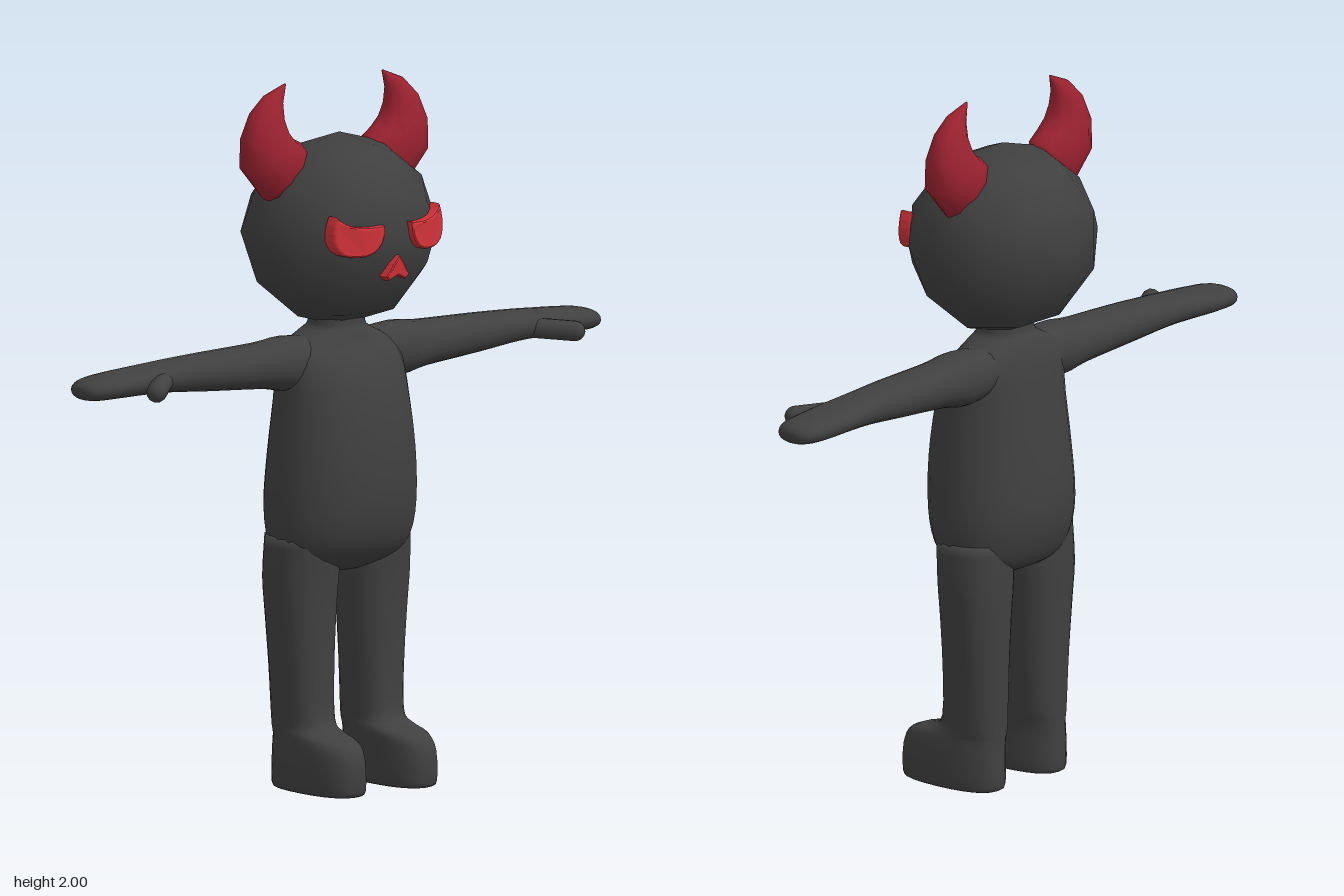
import * as THREE from 'three';

const MID = -0.02; // body mirror plane

const skin = new THREE.MeshStandardMaterial({ color: 0x404040 });
skin.name = 'charcoalSkin';
const hornRed = new THREE.MeshStandardMaterial({ color: 0x9c2230 });
hornRed.name = 'darkRedHorn';
const faceRed = new THREE.MeshStandardMaterial({ color: 0xd03238 });
faceRed.name = 'brightRedFace';

function part(name, geometry, material) {
  const mesh = new THREE.Mesh(geometry, material);
  mesh.name = name;
  return mesh;
}

// Resample rows of numbers with a Catmull-Rom spline.
function smoothRows(rows, steps) {
  const out = [];
  const at = (i) => rows[Math.max(0, Math.min(rows.length - 1, i))];
  for (let i = 0; i < rows.length - 1; i++) {
    for (let k = 0; k < steps; k++) {
      const t = k / steps;
      out.push(rows[i].map((p1, c) => {
        const p0 = at(i - 1)[c], p2 = at(i + 1)[c], p3 = at(i + 2)[c];
        return p1 + 0.5 * t * (p2 - p0 + t * (2 * p0 - 5 * p1 + 4 * p2 - p3 + t * (3 * (p1 - p2) + p3 - p0)));
      }));
    }
  }
  out.push(rows[rows.length - 1]);
  return out;
}

// Skin over rounded sections {c, a, b}; the sections advance along a x b.
function loft(sections, sides, power = 1) {
  const pos = [], index = [];
  const bend = (v) => Math.sign(v) * Math.abs(v) ** power;
  for (const { c, a, b } of sections) {
    for (let j = 0; j < sides; j++) {
      const th = (j / sides) * Math.PI * 2;
      const p = c.clone().addScaledVector(a, bend(Math.cos(th))).addScaledVector(b, bend(Math.sin(th)));
      pos.push(p.x, p.y, p.z);
    }
  }
  const last = (sections.length - 1) * sides, start = pos.length / 3;
  pos.push(...sections[0].c.toArray(), ...sections[sections.length - 1].c.toArray());
  for (let j = 0; j < sides; j++) {
    const k = (j + 1) % sides;
    for (let r = 0; r < last; r += sides) {
      index.push(r + j, r + k, r + sides + j, r + k, r + sides + k, r + sides + j);
    }
    index.push(start, k, j, start + 1, last + j, last + k);
  }
  const g = new THREE.BufferGeometry();
  g.setAttribute('position', new THREE.Float32BufferAttribute(pos, 3));
  g.setIndex(index);
  g.computeVertexNormals();
  return g;
}

const V = (x, y, z) => new THREE.Vector3(x, y, z);

// Upright section: height, centre x, half width, front z, back z
const upright = ([y, x, w, f, k]) => ({ c: V(x, y, (f + k) / 2), a: V(0, 0, (f - k) / 2), b: V(w, 0, 0) });

function torso() {
  const rows = [
    [0.61, 0.1, 0.04, -0.05], [0.64, 0.185, 0.1, -0.11], [0.7, 0.222, 0.15, -0.145],
    [0.8, 0.232, 0.176, -0.165], [0.95, 0.224, 0.178, -0.155], [1.1, 0.208, 0.158, -0.138],
    [1.2, 0.2, 0.125, -0.125], [1.255, 0.165, 0.09, -0.112], [1.288, 0.105, 0.075, -0.1],
    [1.31, 0.08, 0.065, -0.085], [1.38, 0.078, 0.06, -0.08],
  ].map(([y, w, f, k]) => [y, MID, w, f, k]);
  return part('torso', loft(smoothRows(rows, 3).map(upright), 28, 0.9), skin);
}

// Leg and boot in one skin
function leg(s) {
  const rows = [
    [0, 0.13, 0.068, 0.222, -0.088], [0.015, 0.13, 0.082, 0.236, -0.1], [0.1, 0.13, 0.08, 0.234, -0.1],
    [0.145, 0.127, 0.077, 0.205, -0.1], [0.167, 0.126, 0.075, 0.13, -0.1], [0.2, 0.126, 0.075, 0.09, -0.1],
    [0.35, 0.128, 0.083, 0.082, -0.102], [0.5, 0.13, 0.095, 0.083, -0.106],
    [0.6, 0.13, 0.103, 0.088, -0.11], [0.72, 0.125, 0.1, 0.1, -0.11],
  ].map(([y, x, ...rest]) => [y, MID + s * x, ...rest]);
  return part(s > 0 ? 'leftLeg' : 'rightLeg', loft(smoothRows(rows, 3).map(upright), 24, 0.82), skin);
}

// Outstretched arm with a mitten hand and thumb
function arm(s) {
  const group = new THREE.Group();
  group.name = s > 0 ? 'leftArm' : 'rightArm';
  const rows = [
    [0.06, 1.21, 0.06, -0.02, 0.07], [0.2, 1.207, 0.077, -0.02, 0.082], [0.3, 1.21, 0.065, -0.022, 0.078],
    [0.5, 1.215, 0.054, -0.025, 0.075], [0.65, 1.218, 0.044, -0.03, 0.071], [0.75, 1.216, 0.039, -0.032, 0.076],
    [0.83, 1.213, 0.036, -0.035, 0.076], [0.9, 1.21, 0.032, -0.035, 0.071], [0.938, 1.207, 0.024, -0.035, 0.052],
    [0.951, 1.206, 0.01, -0.035, 0.025],
  ];
  const sections = smoothRows(rows, 3).map(([x, y, h, z, d]) => ({
    c: V(s * x, y, z - s * 0.016 * x), a: V(0, h, 0), b: V(0, 0, s * d),
  }));
  group.add(part('armAndHand', loft(sections, 20, 0.9), skin));
  const from = V(s * 0.68, 1.213, 0.01 - s * 0.013), to = V(s * 0.776, 1.203, 0.094 - s * 0.013);
  const thumb = part('thumb', new THREE.CapsuleGeometry(0.029, from.distanceTo(to), 6, 12), skin);
  thumb.position.copy(from).lerp(to, 0.5);
  thumb.quaternion.setFromUnitVectors(V(0, 1, 0), to.clone().sub(from).normalize());
  group.add(thumb);
  return group;
}

// Faceted outline, smooth shading
function head() {
  const g = new THREE.IcosahedronGeometry(1.015, 1);
  g.scale(0.284, 0.27, 0.257);
  const mesh = part('head', g, skin);
  mesh.position.set(-0.013, 1.57, -0.006);
  return mesh;
}

// Curved horn: outer x, y, inner x, y, half depth
function horn(s) {
  const rows = [
    [0.2, 1.66, 0.1, 1.79, 0.045], [0.258, 1.68, 0.12, 1.825, 0.065], [0.325, 1.76, 0.155, 1.843, 0.072],
    [0.328, 1.85, 0.178, 1.866, 0.06], [0.297, 1.925, 0.192, 1.9, 0.045],
    [0.25, 1.972, 0.193, 1.945, 0.027], [0.18, 2, 0.176, 1.997, 0.003],
  ];
  const sections = rows.map(([ox, oy, ix, iy, d]) => ({
    c: V(-0.025 + (s * (ox + ix)) / 2, (oy + iy) / 2, -0.015),
    a: V((s * (ox - ix)) / 2, (oy - iy) / 2, 0),
    b: V(0, 0, -s * d),
  }));
  return part(s > 0 ? 'leftHorn' : 'rightHorn', loft(sections, 10), hornRed);
}

// Face plate extruded from an outline and wrapped onto the head
function facePlate(name, shape) {
  const g = new THREE.ExtrudeGeometry(shape, {
    depth: 0.03, curveSegments: 8, bevelThickness: 0.008, bevelSize: 0.006, bevelOffset: -0.006, bevelSegments: 2,
  });
  const p = g.attributes.position;
  for (let i = 0; i < p.count; i++) {
    const dx = p.getX(i) + 0.015, dy = p.getY(i) - 1.57;
    p.setZ(i, p.getZ(i) + 0.222 - 1.2 * dx * dx - 0.8 * dy * dy);
  }
  g.computeVertexNormals();
  return part(name, g, faceRed);
}

function eye(s) {
  const X = (u) => -0.015 + s * u;
  const shape = new THREE.Shape();
  shape.moveTo(X(0.186), 1.648);
  shape.quadraticCurveTo(X(0.155), 1.605, X(0.048), 1.616);
  shape.bezierCurveTo(X(0.044), 1.56, X(0.08), 1.528, X(0.125), 1.53);
  shape.bezierCurveTo(X(0.2), 1.526, X(0.216), 1.58, X(0.186), 1.648);
  return facePlate(s > 0 ? 'leftEye' : 'rightEye', shape);
}

function nose() {
  const outline = [[0, 1.528], [-0.02, 1.505], [-0.043, 1.468], [-0.03, 1.456], [0, 1.47], [0.03, 1.456], [0.043, 1.468], [0.02, 1.505]];
  return facePlate('nose', new THREE.Shape(outline.map(([x, y]) => new THREE.Vector2(x - 0.013, y))));
}

export function createModel() {
  const model = new THREE.Group();
  model.name = 'hornedFigure';
  model.add(torso(), head(), nose());
  for (const s of [1, -1]) model.add(leg(s), arm(s), horn(s), eye(s));
  return model;
}
